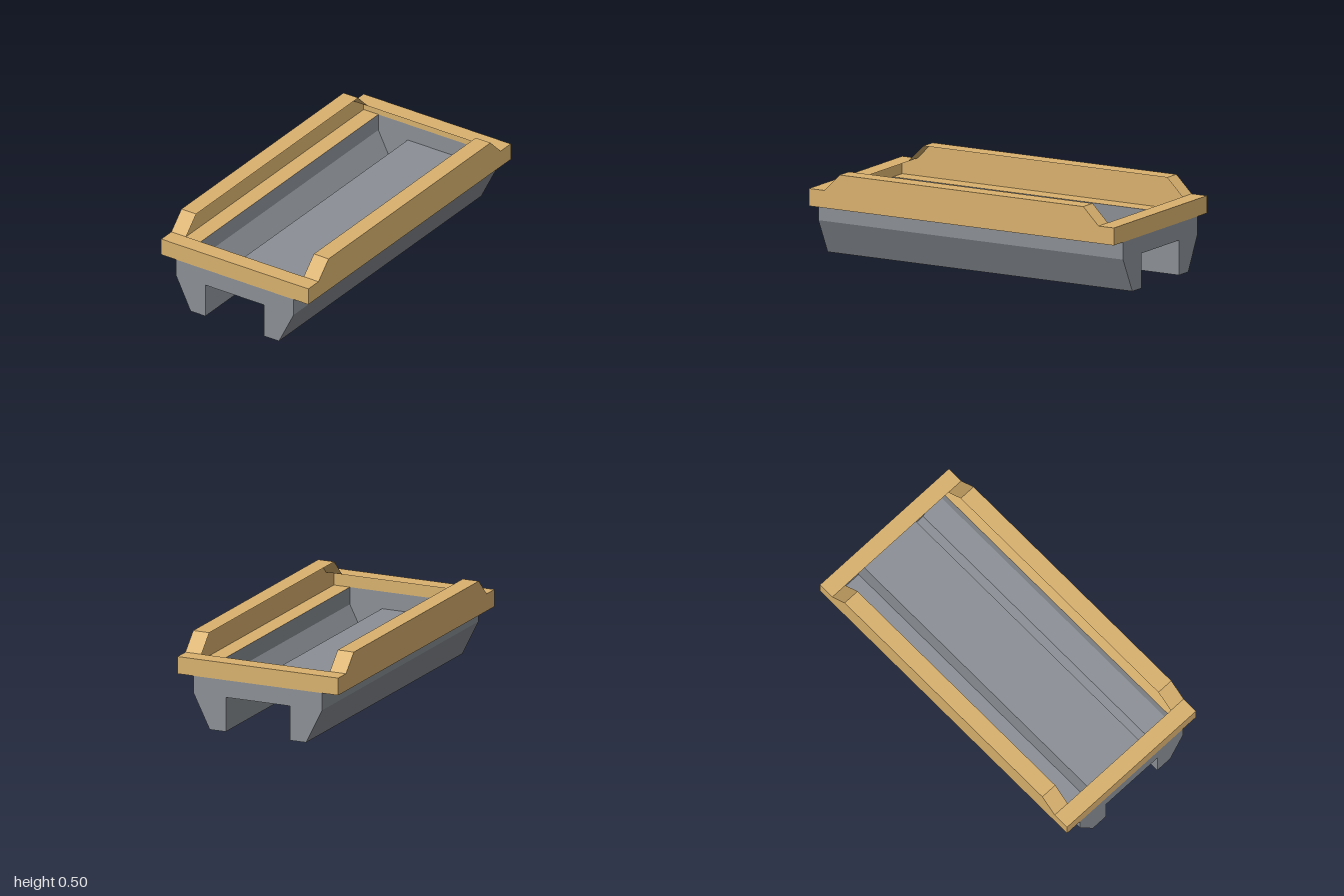
import * as THREE from 'three';

const wood = new THREE.MeshStandardMaterial({ name: 'wood', color: 0xd9b16e, side: THREE.DoubleSide });
const metal = new THREE.MeshStandardMaterial({ name: 'greyMetal', color: 0x8b9096, side: THREE.DoubleSide });

// Flat-shaded surface spanning two polylines with the same number of points
function loft(a, b) {
  const pos = [];
  for (let i = 0; i < a.length - 1; i++) {
    pos.push(...a[i], ...b[i], ...b[i + 1], ...a[i], ...b[i + 1], ...a[i + 1]);
  }
  const geo = new THREE.BufferGeometry();
  geo.setAttribute('position', new THREE.Float32BufferAttribute(pos, 3));
  geo.computeVertexNormals();
  return geo;
}

function add(parent, name, geometry, material) {
  const mesh = new THREE.Mesh(geometry, material);
  mesh.name = name;
  parent.add(mesh);
  return mesh;
}

// Raised rail silhouette as [z, y], and the hull cross-section as [x, y]
const railProfile = [[-1, 0.4], [-0.9, 0.4], [-0.8, 0.5], [0.8, 0.5], [0.9, 0.4], [1, 0.4]];
const hullSection = [
  [-0.4, 0.3], [-0.4, 0.2], [-0.3, 0], [-0.2, 0], [-0.2, 0.2],
  [0.2, 0.2], [0.2, 0], [0.3, 0], [0.4, 0.2], [0.4, 0.3],
];

export function createModel() {
  const model = new THREE.Group();
  model.name = 'tray';

  // Thin hull swept along z, open at the top
  const section = z => hullSection.map(([x, y]) => [x, y, z]);
  add(model, 'hull', loft(section(1), section(-1)), metal);

  // One side rail and one end, repeated by a half turn
  const rail = x => railProfile.map(([z, y]) => [x, y, z]);
  const railBase = x => railProfile.map(([z]) => [x, 0.3, z]);
  const endShape = new THREE.Shape(hullSection.map(([x, y]) => new THREE.Vector2(x, y)));
  for (let i = 0; i < 2; i++) {
    const half = new THREE.Group();
    half.name = i ? 'rightAndBack' : 'leftAndFront';
    half.rotation.y = i * Math.PI;
    model.add(half);

    // Side rail: open on the inside
    add(half, 'railTop', loft(rail(0.5), rail(0.4)), wood);
    add(half, 'railOuterWall', loft(railBase(0.5), rail(0.5)), wood);
    add(half, 'railUnderside', loft(railBase(0.4), railBase(0.5)), wood);

    // End rim
    add(half, 'endRimTop', loft(
      [[0.4, 0.4, 0.9], [0.4, 0.4, 1]],
      [[-0.4, 0.4, 0.9], [-0.4, 0.4, 1]]), wood);
    add(half, 'endRimWall', loft(
      [[-0.5, 0.4, 1], [0.5, 0.4, 1]],
      [[-0.5, 0.3, 1], [0.5, 0.3, 1]]), wood);

    // Hull end wall
    add(half, 'hullEnd', new THREE.ShapeGeometry(endShape), metal).position.z = 1;
  }
  return model;
}
